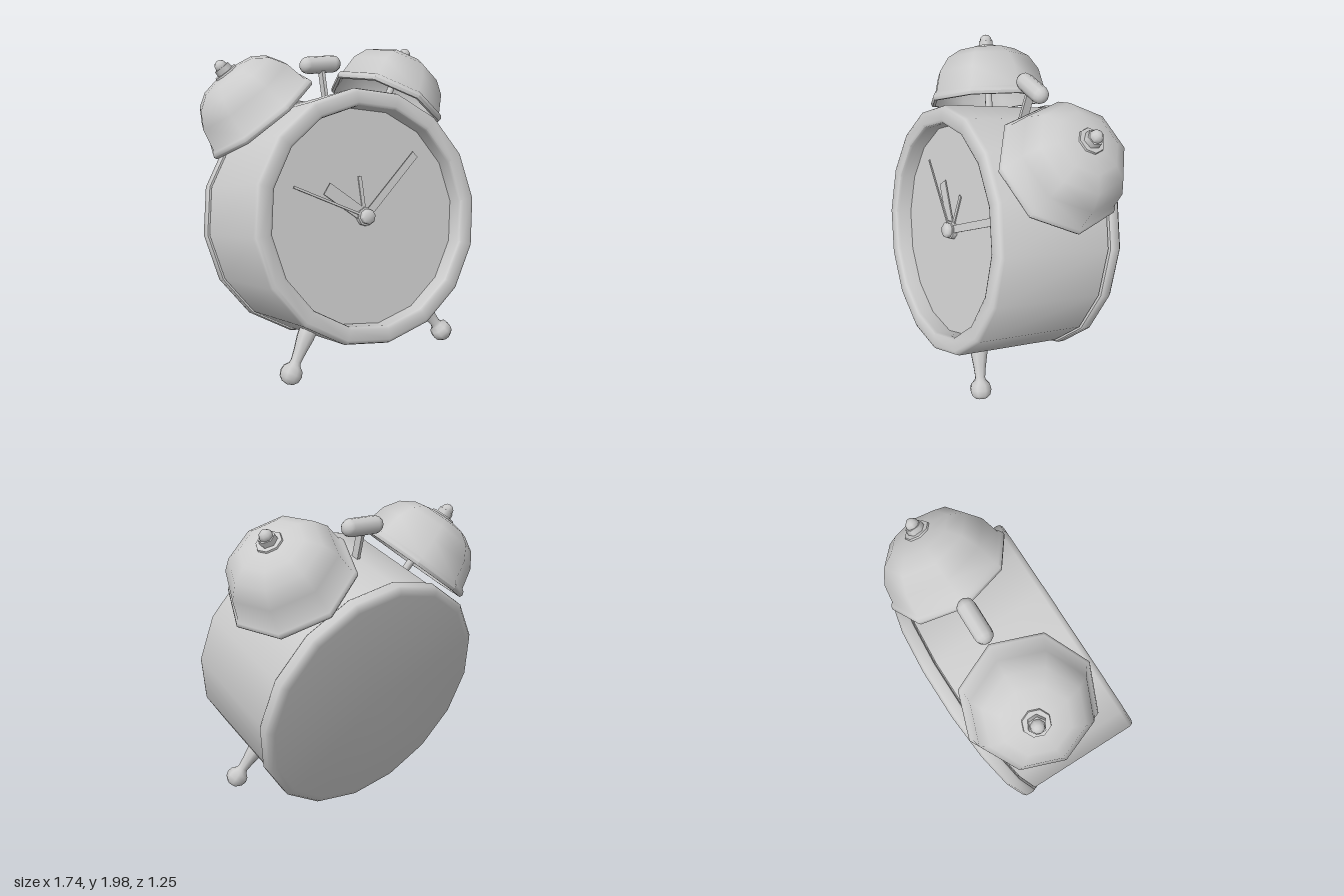
import * as THREE from 'three';
import { toCreasedNormals } from 'three/addons/utils/BufferGeometryUtils.js';

const material = new THREE.MeshStandardMaterial({ color: 0xcccccc, side: THREE.DoubleSide });
const TILT = THREE.MathUtils.degToRad(15);

function part(name, geometry, parent, x = 0, y = 0, z = 0) {
  const mesh = new THREE.Mesh(geometry, material);
  mesh.name = name;
  mesh.position.set(x, y, z);
  parent.add(mesh);
  return mesh;
}

// Turned shape from [radius, height] points listed bottom to top
function turned(points, sides, crease = 0.9) {
  const profile = points.map(([r, h]) => new THREE.Vector2(r, h));
  return toCreasedNormals(new THREE.LatheGeometry(profile, sides), crease);
}

// Group whose +y axis points outward from the case centre, angle measured from the top
function radialGroup(name, angle, parent, z = 0) {
  const group = new THREE.Group();
  group.name = name;
  group.rotation.z = -angle;
  group.position.z = z;
  parent.add(group);
  return group;
}

function addBell(name, angle, parent) {
  const bell = radialGroup(name, angle, parent);
  part('bellPost', new THREE.CylinderGeometry(0.025, 0.025, 0.45, 8), bell, 0, 0.98, 0);
  // Hollow dome with a raised lip
  part('bellDome', turned([
    [0, 0.34], [0.19, 0.315], [0.27, 0.265], [0.335, 0.17], [0.37, 0.05], [0.385, 0],
    [0.405, 0], [0.415, 0.02], [0.405, 0.045], [0.388, 0.055],
    [0.355, 0.19], [0.29, 0.285], [0.2, 0.34], [0.1, 0.36], [0, 0.365],
  ], 8, 1.0), bell, 0, 0.85, 0);
  part('bellWasher', new THREE.CylinderGeometry(0.08, 0.085, 0.02, 8), bell, 0, 1.212, 0);
  part('bellNut', new THREE.CylinderGeometry(0.052, 0.055, 0.04, 6), bell, 0, 1.238, 0);
  part('bellNutCap', new THREE.SphereGeometry(0.042, 8, 6), bell, 0, 1.262, 0);
}

function addFoot(name, angle, parent) {
  const foot = radialGroup(name, angle, parent, 0.17);
  part('footPeg', turned([
    [0, 0.76], [0.04, 0.765], [0.06, 0.785], [0.058, 0.84], [0.043, 0.93], [0.035, 1.0], [0.04, 1.02],
    [0.066, 1.045], [0.075, 1.08], [0.066, 1.115], [0.04, 1.14], [0, 1.15],
  ], 8, 1.2), foot);
}

// Flat hand pivoting at the dial centre
function addHand(name, angle, length, width, z, parent) {
  const hand = radialGroup(name, angle, parent, z);
  part(name + 'Blade', new THREE.BoxGeometry(width, length, 0.008), hand, 0, length / 2, 0);
}

export function createModel() {
  const model = new THREE.Group();
  model.name = 'alarmClock';
  const clock = new THREE.Group();
  clock.name = 'tiltedClock';
  clock.position.y = 0.917;
  clock.rotation.x = -TILT;
  model.add(clock);

  // Back cover, drum, rounded bezel and recessed dial
  part('backCover', turned([
    [0, -0.435], [0.77, -0.435], [0.805, -0.43], [0.825, -0.41],
    [0.828, -0.36], [0.82, -0.345], [0.79, -0.345],
  ], 16).rotateX(Math.PI / 2), clock);
  part('caseAndBezel', turned([
    [0.79, -0.345], [0.81, -0.335], [0.813, 0.4], [0.805, 0.423], [0.785, 0.433],
    [0.72, 0.433], [0.703, 0.425], [0.698, 0.405], [0.695, 0.318],
  ], 16).rotateX(Math.PI / 2), clock);
  const dial = part('dial', new THREE.CircleGeometry(0.697, 16), clock, 0, 0, 0.318);
  dial.rotation.z = Math.PI / 2;

  // Hands and hub
  addHand('alarmHand', 0, 0.26, 0.025, 0.326, clock);
  addHand('hourHand', -0.86, 0.33, 0.085, 0.332, clock);
  addHand('minuteHand', 0.9, 0.56, 0.05, 0.338, clock);
  addHand('secondHand', -1.08, 0.545, 0.015, 0.344, clock);
  part('hub', turned([[0.062, 0.318], [0.062, 0.348], [0.05, 0.35], [0.05, 0.375], [0.035, 0.388], [0, 0.39]], 8)
    .rotateX(Math.PI / 2), clock);

  // Striker between the bells
  part('strikerStem', new THREE.BoxGeometry(0.022, 0.25, 0.055), clock, 0, 0.9, 0.015);
  const head = part('strikerHead', new THREE.CapsuleGeometry(0.057, 0.186, 4, 10), clock, 0, 1.022, 0.01);
  head.rotation.z = Math.PI / 2;

  // Mirrored bells and feet
  for (const [side, s] of [['left', 1], ['right', -1]]) {
    addBell(side + 'Bell', s * 0.585, clock);
    addFoot(side + 'Foot', s * (Math.PI - 0.58), clock);
  }
  return model;
}
